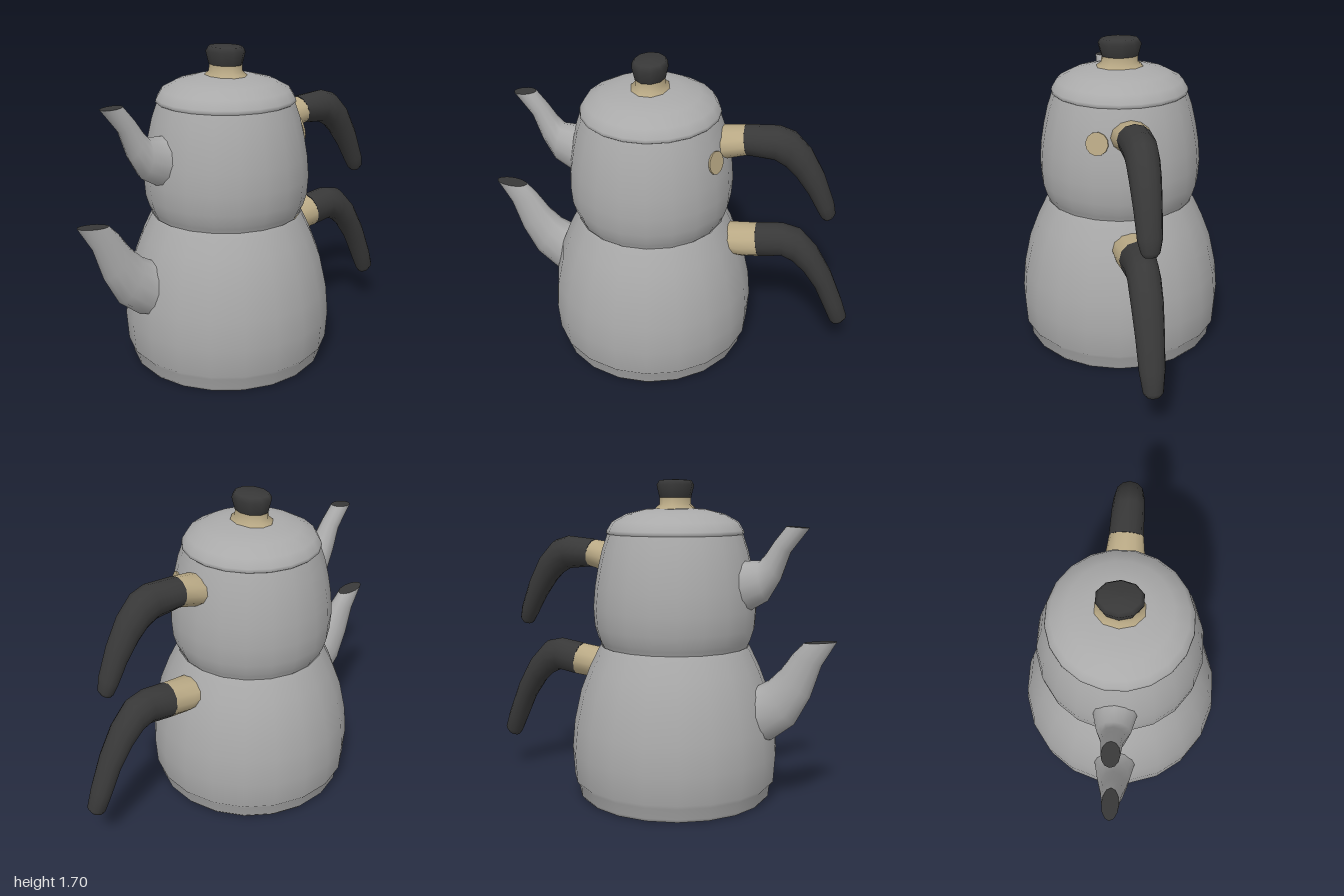
import * as THREE from 'three';

const mat = (name, color, side = THREE.FrontSide) => {
  const m = new THREE.MeshStandardMaterial({ color, side });
  m.name = name;
  return m;
};

// Skin of elliptical sections, each [x1, y1, x2, y2, halfWidth]: the
// two points are the lower and upper edge seen from the front.
function loft(sections, dir, sides = 12) {
  const pos = [], idx = [];
  for (const [x1, y1, x2, y2, w] of sections) {
    for (let j = 0; j < sides; j++) {
      const t = (j / sides) * Math.PI * 2, c = Math.cos(t) / 2;
      pos.push((x1 + x2) / 2 + (x2 - x1) * c, (y1 + y2) / 2 + (y2 - y1) * c, dir * w * Math.sin(t));
    }
  }
  for (let i = 0; i < sections.length - 1; i++) {
    for (let j = 0; j < sides; j++) {
      const k = (j + 1) % sides, a = i * sides + j, b = i * sides + k;
      idx.push(a, b, b + sides, a, b + sides, a + sides);
    }
  }
  return build(pos, idx);
}

// Flat ellipse closing one section.
function cap([x1, y1, x2, y2, w], dir, sides = 12) {
  const pos = [(x1 + x2) / 2, (y1 + y2) / 2, 0], idx = [];
  for (let j = 0; j < sides; j++) {
    const t = (j / sides) * Math.PI * 2, c = Math.cos(t) / 2;
    pos.push(pos[0] + (x2 - x1) * c, pos[1] + (y2 - y1) * c, dir * w * Math.sin(t));
    idx.push(0, j + 1, ((j + 1) % sides) + 1);
  }
  return build(pos, idx);
}

function build(pos, idx) {
  const g = new THREE.BufferGeometry();
  g.setAttribute('position', new THREE.Float32BufferAttribute(pos, 3));
  g.setIndex(idx);
  g.computeVertexNormals();
  return g;
}

export function createModel() {
  const root = new THREE.Group();
  root.name = 'doubleTeapot';
  const steel = mat('steel', 0xaaaaaa, THREE.DoubleSide);
  const black = mat('blackPlastic', 0x383838);
  const beige = mat('beigeFitting', 0xb9a985);
  const CX = -0.113;

  const add = (parent, name, geo, material) => {
    const m = new THREE.Mesh(geo, material);
    m.name = name;
    parent.add(m);
    return m;
  };
  const lathe = (name, pts, material, sides = 20, sx = 1) => {
    const g = new THREE.LatheGeometry(pts.map(p => new THREE.Vector2(...p)), sides, Math.PI / sides);
    const m = add(root, name, g, material);
    m.position.x = CX;
    m.scale.x = sx;
    return m;
  };

  // Pots and lid
  lathe('lowerPot', [[0.505, 0], [0.522, 0.02], [0.527, 0.075], [0.548, 0.1], [0.558, 0.25], [0.545, 0.4],
    [0.508, 0.57], [0.458, 0.7], [0.412, 0.795], [0.398, 0.82]], steel);
  lathe('upperPot', [[0.392, 0.815], [0.402, 0.84], [0.412, 0.86], [0.43, 0.92], [0.437, 1.02], [0.428, 1.13],
    [0.411, 1.23], [0.388, 1.33], [0.36, 1.41]], steel);
  lathe('lid', [[0.355, 1.405], [0.366, 1.415], [0.362, 1.43], [0.335, 1.475], [0.26, 1.515], [0.16, 1.54], [0, 1.55]], steel);
  lathe('base', [[0, 0], [0.506, 0]], black);

  // Lid knob, longer from front to back
  lathe('knobCollar', [[0.13, 1.53], [0.125, 1.547], [0.1, 1.565], [0.098, 1.605]], beige, 10, 0.8);
  lathe('knob', [[0.09, 1.595], [0.1, 1.6], [0.118, 1.665], [0.1, 1.69], [0, 1.695]], black, 10, 0.8);

  // Handles: beige socket, then a black curved grip
  const handles = {
    upperHandle: {
      socket: [[0.23, 1.18, 0.23, 1.33, 0.11], [0.27, 1.185, 0.26, 1.355, 0.105], [0.4, 1.22, 0.375, 1.37, 0.09]],
      grip: [[0.4, 1.22, 0.375, 1.372, 0.09], [0.54, 1.205, 0.55, 1.387, 0.085], [0.6, 1.17, 0.635, 1.362, 0.082],
        [0.65, 1.12, 0.725, 1.27, 0.077], [0.72, 1.025, 0.8, 1.135, 0.068], [0.775, 0.93, 0.86, 0.98, 0.06],
        [0.8, 0.885, 0.875, 0.91, 0.045], [0.815, 0.872, 0.862, 0.885, 0.03]],
    },
    lowerHandle: {
      socket: [[0.27, 0.62, 0.27, 0.755, 0.11], [0.4, 0.595, 0.34, 0.768, 0.105], [0.49, 0.6, 0.46, 0.782, 0.092]],
      grip: [[0.49, 0.6, 0.46, 0.784, 0.092], [0.615, 0.617, 0.6, 0.802, 0.085], [0.67, 0.59, 0.7, 0.78, 0.083],
        [0.735, 0.53, 0.8, 0.675, 0.08], [0.805, 0.43, 0.89, 0.52, 0.072], [0.865, 0.3, 0.965, 0.34, 0.064],
        [0.905, 0.21, 1, 0.24, 0.05], [0.92, 0.19, 0.985, 0.21, 0.032]],
    },
  };
  for (const [name, { socket, grip }] of Object.entries(handles)) {
    const g = new THREE.Group();
    g.name = name;
    root.add(g);
    add(g, 'socket', loft(socket, 1), beige);
    add(g, 'grip', loft(grip, 1), black);
    add(g, 'gripEnd', cap(grip.at(-1), 1), black);
  }

  // Spouts with dark mouths
  const spouts = {
    upperSpout: [[-0.48, 1.01, -0.47, 1.28, 0.12], [-0.55, 1.03, -0.52, 1.28, 0.105], [-0.635, 1.08, -0.59, 1.285, 0.085],
      [-0.7, 1.19, -0.625, 1.325, 0.065], [-0.75, 1.33, -0.665, 1.385, 0.052], [-0.845, 1.452, -0.725, 1.46, 0.045]],
    lowerSpout: [[-0.58, 0.33, -0.52, 0.62, 0.13], [-0.67, 0.355, -0.59, 0.635, 0.11], [-0.79, 0.45, -0.65, 0.67, 0.09],
      [-0.87, 0.6, -0.715, 0.735, 0.07], [-0.925, 0.77, -0.775, 0.82, 0.055], [-1, 0.895, -0.83, 0.878, 0.045]],
  };
  for (const [name, sections] of Object.entries(spouts)) {
    const g = new THREE.Group();
    g.name = name;
    root.add(g);
    add(g, 'tube', loft(sections, -1), steel);
    add(g, 'mouth', cap(sections.at(-1), -1), black);
  }

  // Small beige spot on the pot beside the upper handle
  const a = 0.43;
  const spot = add(root, 'beigeSpot', new THREE.CylinderGeometry(0.06, 0.06, 0.009, 12), beige);
  spot.position.set(CX + 0.41 * Math.cos(a), 1.24, 0.41 * Math.sin(a));
  spot.quaternion.setFromUnitVectors(new THREE.Vector3(0, 1, 0),
    new THREE.Vector3(Math.cos(a), 0.2, Math.sin(a)).normalize());
  return root;
}
